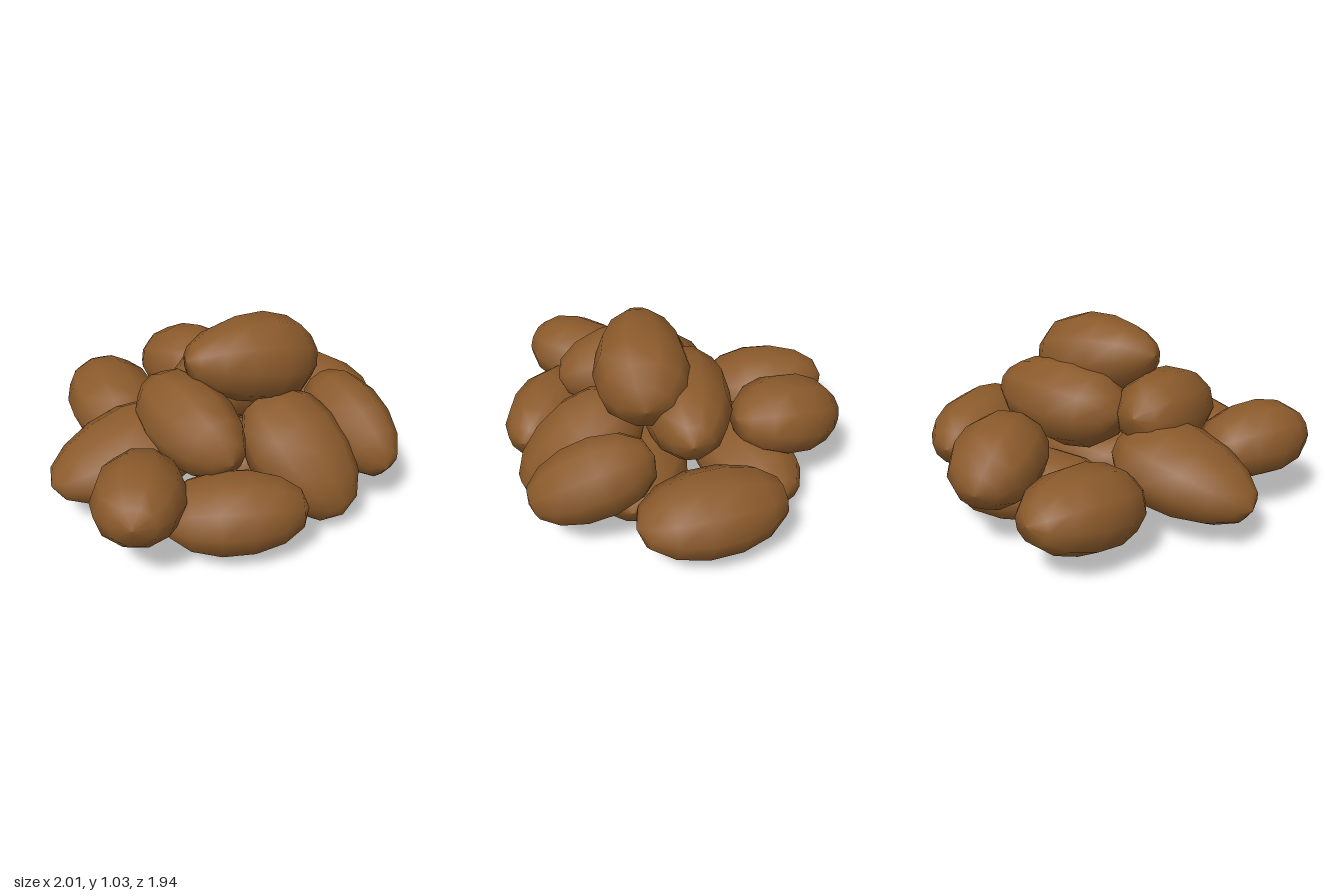
import * as THREE from 'three';

const SIDES = 10, RINGS = 7;

// Egg-shaped clod: a coarse, full sphere that narrows towards its tip (+y)
function clodGeometry(taper) {
  const g = new THREE.SphereGeometry(1, SIDES, RINGS);
  const p = g.attributes.position;
  for (let i = 0; i < p.count; i++) {
    const y = p.getY(i);
    const ring = Math.max(0.01, Math.sqrt(Math.max(0, 1 - y * y)));
    const k = (1.03 - taper * y) * Math.pow(ring, -0.1);
    p.setXYZ(i, p.getX(i) * k, y, p.getZ(i) * k);
  }
  // smooth normals, equal on both sides of the seam
  g.computeVertexNormals();
  const n = g.attributes.normal;
  for (let r = 0; r <= RINGS; r++) {
    const a = r * (SIDES + 1), b = a + SIDES;
    const v = new THREE.Vector3().fromBufferAttribute(n, a)
      .add(new THREE.Vector3().fromBufferAttribute(n, b)).normalize();
    n.setXYZ(a, v.x, v.y, v.z);
    n.setXYZ(b, v.x, v.y, v.z);
  }
  return g;
}

// name, blunt end, tip, half width, half height, taper
const CLODS = [
  ['topClod', [0.505, 0.73, 0.06], [-0.25, 0.87, 0.21], 0.25, 0.235, 0.22],
  ['upperBackClod', [-0.24, 0.57, -0.03], [0.59, 0.59, -0.19], 0.25, 0.24, 0.12],
  ['upperFrontClod', [-0.37, 0.61, -0.06], [-0.14, 0.49, 0.66], 0.23, 0.23, 0.05],
  ['leftFrontClod', [0.59, 0.53, 0.01], [0.74, 0.28, 0.65], 0.205, 0.22, 0.08],
  ['frontClod', [0.18, 0.58, 0.17], [0.45, 0.11, 0.74], 0.275, 0.25, 0.1],
  ['lowFrontClod', [-0.51, 0.24, 0.63], [0.22, 0.26, 0.81], 0.235, 0.21, 0.05],
  ['rightFrontClod', [-0.51, 0.36, 0.32], [-0.72, 0.42, 0.93], 0.235, 0.205, -0.05],
  ['rightClod', [-0.18, 0.4, 0.06], [-1.0, 0.24, 0.2], 0.295, 0.225, 0.22],
  ['rightBackClod', [-0.47, 0.25, -0.16], [-0.55, 0.35, -0.89], 0.265, 0.215, 0.08],
  ['backClod', [0.18, 0.49, -0.39], [-0.17, 0.37, -0.93], 0.25, 0.215, 0],
  ['leftBackClod', [0.89, 0.3, 0.07], [0.54, 0.29, -0.67], 0.25, 0.215, 0],
  ['bottomBackClod', [-0.31, 0.22, -0.18], [0.43, 0.16, -0.67], 0.265, 0.195, -0.05],
  ['bottomFrontClod', [-0.23, 0.2, 0.18], [0.65, 0.18, 0.12], 0.275, 0.19, -0.05],
];

export function createModel() {
  const group = new THREE.Group();
  group.name = 'clodHeap';
  const brown = new THREE.MeshStandardMaterial({ color: 0x8b5a2b });
  brown.name = 'earthBrown';

  for (const [name, blunt, tip, width, height, taper] of CLODS) {
    const a = new THREE.Vector3(...blunt), b = new THREE.Vector3(...tip);
    const axis = b.clone().sub(a);
    const half = axis.length() / 2;
    axis.normalize();
    // side stays level, up leans with the clod
    const side = new THREE.Vector3().crossVectors(axis, new THREE.Vector3(0, 1, 0)).normalize();
    const up = new THREE.Vector3().crossVectors(side, axis);
    const clod = new THREE.Mesh(clodGeometry(taper), brown);
    clod.name = name;
    clod.position.copy(a).add(b).multiplyScalar(0.5);
    clod.quaternion.setFromRotationMatrix(new THREE.Matrix4().makeBasis(side, axis, up));
    clod.scale.set(width, half, height);
    group.add(clod);
  }
  return group;
}
